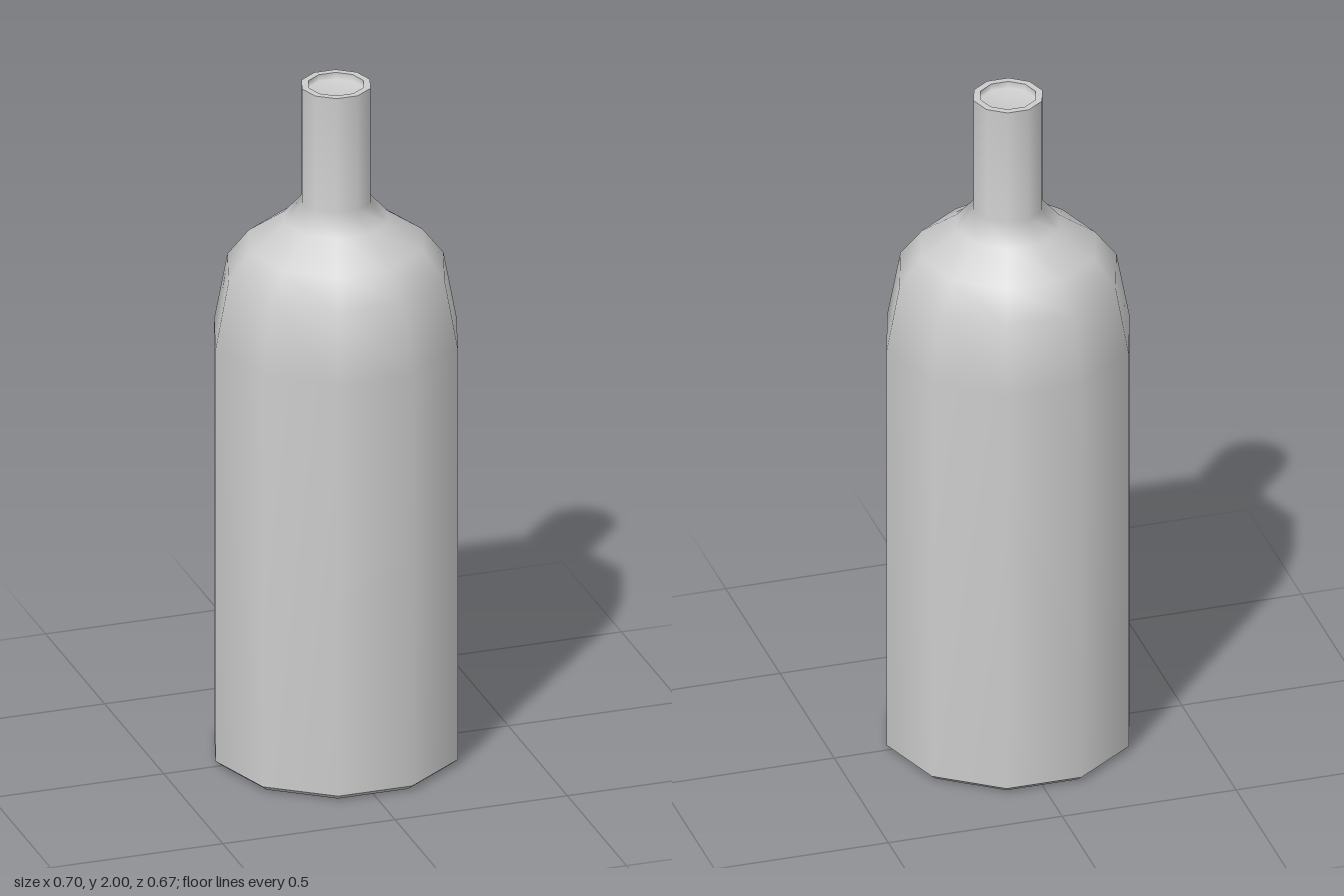
import * as THREE from 'three';

const SIDES = 10;

export function createModel() {
  const group = new THREE.Group();
  group.name = 'bottle';
  const material = new THREE.MeshStandardMaterial({ color: 0xcccccc });

  // Ten-sided turned part with a corner on the x axis; each part is smooth,
  // and the seams between parts stay sharp.
  const turn = (name, profile) => {
    const points = profile.map(([r, y]) => new THREE.Vector2(r, y));
    const mesh = new THREE.Mesh(new THREE.LatheGeometry(points, SIDES, Math.PI / 2), material);
    mesh.name = name;
    group.add(mesh);
  };

  // Flat underside with a small bevel
  turn('base', [[0, 0], [0.33, 0], [0.35, 0.016]]);

  // Straight wall, rounded shoulder and neck
  turn('body', [
    [0.35, 0.016], [0.35, 1.25], [0.312, 1.45], [0.25, 1.53],
    [0.148, 1.6], [0.099, 1.656], [0.099, 2],
  ]);

  // Flat ring around the mouth
  turn('rim', [[0.099, 2], [0.079, 2]]);

  // Shallow recess inside the mouth
  turn('mouth', [[0.079, 2], [0.079, 1.98], [0, 1.98]]);

  return group;
}
